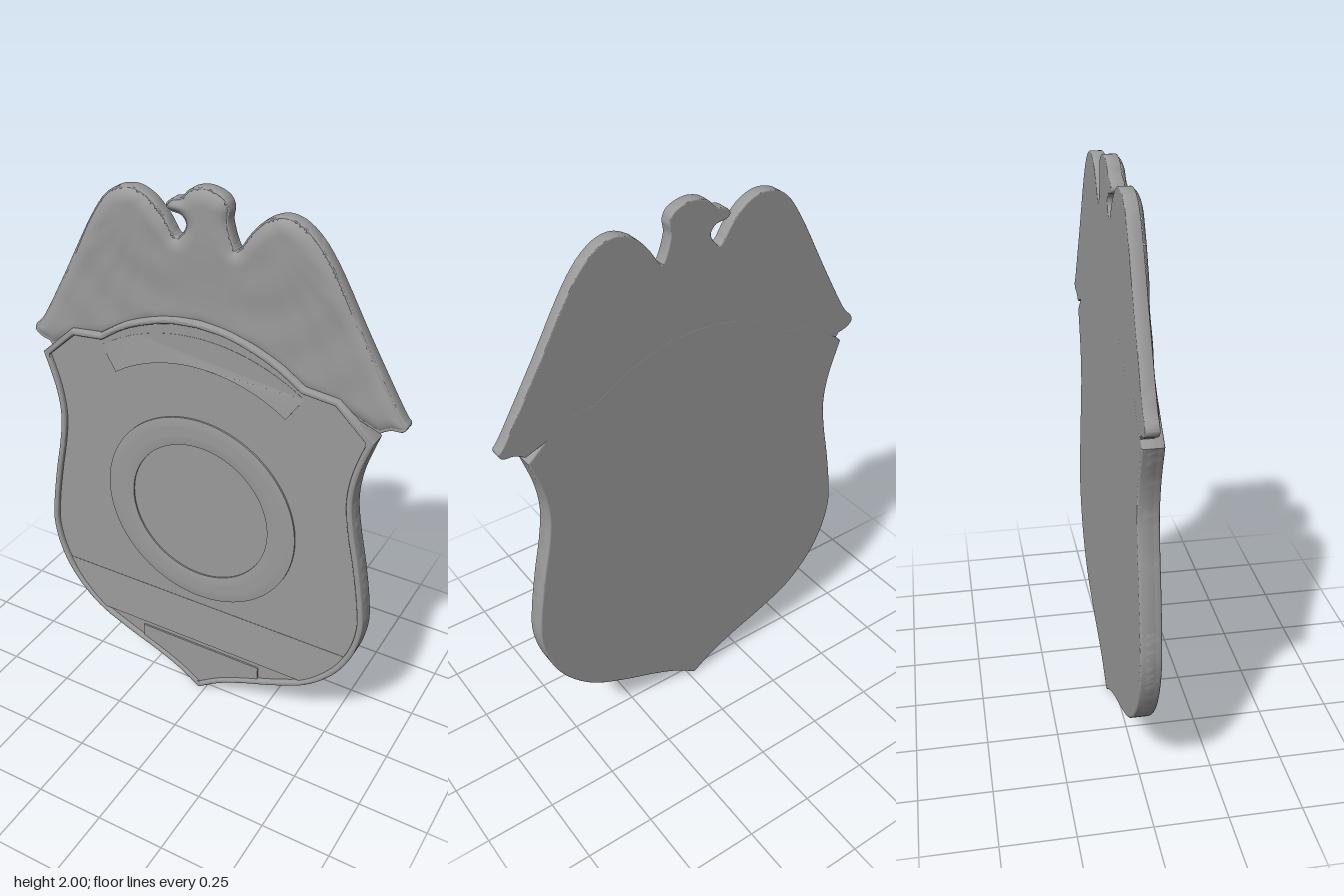
import * as THREE from 'three';
import { toCreasedNormals } from 'three/addons/utils/BufferGeometryUtils.js';

const material = new THREE.MeshStandardMaterial({ color: 0x9a9a9a });
const CX = -0.024; // shield centre line
const FACE = 0.02; // height of the recessed face
const RING_Y = 0.832;
const V = (x, y) => new THREE.Vector2(x, y);

// Smooth rounded edges, but keep the flat front and back faces truly flat
function part(name, geometry, crease = 0.6) {
  const g = toCreasedNormals(geometry, crease);
  const p = g.attributes.position, n = g.attributes.normal;
  const tri = new THREE.Triangle(), face = new THREE.Vector3();
  for (let i = 0; i < p.count; i += 3) {
    tri.setFromAttributeAndIndices(p, i, i + 1, i + 2).getNormal(face);
    if (Math.abs(face.z) > 0.9999) for (let k = 0; k < 3; k++) n.setXYZ(i + k, 0, 0, Math.sign(face.z));
  }
  const mesh = new THREE.Mesh(g, material);
  mesh.name = name;
  return mesh;
}

// Extrude a shape between two z levels, rounding the edges inside the outline
function slab(shape, z0, z1, bevel = 0) {
  const g = new THREE.ExtrudeGeometry(shape, {
    depth: z1 - z0 - 2 * bevel, bevelEnabled: bevel > 0, bevelThickness: bevel,
    bevelSize: bevel, bevelOffset: -bevel, bevelSegments: 4, curveSegments: 40,
  });
  return g.translate(0, 0, z0 + bevel);
}

// Set the height of a slab's front by a rule
function slopeFront(geometry, height) {
  const p = geometry.attributes.position;
  for (let i = 0; i < p.count; i++) {
    if (p.getZ(i) > 0.015) p.setZ(i, height(p.getX(i), p.getY(i)));
  }
  return geometry;
}

// Move a counter-clockwise outline inwards
function inset(pts, d) {
  const n = pts.length;
  return pts.map((p, i) => {
    const a = p.clone().sub(pts[(i + n - 1) % n]).normalize();
    const b = pts[(i + 1) % n].clone().sub(p).normalize();
    const m = V(-a.y - b.y, a.x + b.x).normalize();
    return p.clone().addScaledVector(m, d / Math.max(0.5, m.x * -a.y + m.y * a.x));
  });
}

function shieldOutline() {
  const side = new THREE.SplineCurve([
    V(0, 0.003), V(0.09, 0.064), V(0.19, 0.112), V(0.33, 0.168), V(0.455, 0.232), V(0.555, 0.33), V(0.615, 0.44),
    V(0.643, 0.56), V(0.637, 0.67), V(0.612, 0.82), V(0.583, 0.96), V(0.57, 1.07), V(0.583, 1.18),
    V(0.624, 1.31)]).getPoints(104);
  const top = new THREE.SplineCurve([
    V(0.38, 1.437), V(0.29, 1.495), V(0.19, 1.537), V(0.095, 1.562), V(0, 1.57)]).getPoints(20);
  const half = [...side, V(0.497, 1.425), ...top];
  const mirrored = half.slice(1, -1).reverse().map(p => V(-p.x, p.y));
  return [...half, ...mirrored].map(p => V(p.x + CX, p.y));
}

function eagleOutline() {
  const top = new THREE.SplineCurve([
    // one wing tip, wing, neck and beak, head, other wing
    V(-0.635, 1.345), V(-0.67, 1.355), V(-0.692, 1.375), V(-0.685, 1.4), V(-0.645, 1.445), V(-0.548, 1.615),
    V(-0.426, 1.838), V(-0.352, 1.933), V(-0.272, 1.96), V(-0.204, 1.938), V(-0.15, 1.885), V(-0.113, 1.83),
    V(-0.09, 1.84), V(-0.073, 1.873), V(-0.09, 1.9), V(-0.13, 1.908), V(-0.145, 1.925), V(-0.124, 1.946),
    V(-0.09, 1.956), V(-0.056, 1.988), V(0, 2), V(0.056, 1.983), V(0.077, 1.95), V(0.073, 1.905),
    V(0.093, 1.84), V(0.11, 1.83), V(0.15, 1.888), V(0.2, 1.938), V(0.267, 1.96), V(0.341, 1.93),
    V(0.42, 1.838), V(0.542, 1.625), V(0.664, 1.42), V(0.69, 1.385), V(0.678, 1.363), V(0.64, 1.358), V(0.605, 1.338),
  ]).getPoints(180);
  // lower edge, tucked behind the shield rim
  const low = [[0.48, 1.395], [0.375, 1.415], [0.19, 1.512], [0, 1.547],
    [-0.19, 1.512], [-0.375, 1.415], [-0.48, 1.395], [-0.6, 1.33]].map(([x, y]) => V(x + CX, y));
  return [...top, ...low].reverse();
}

// Distance inside an outline (negative outside)
function depthInside(pts, x, y) {
  let best = Infinity, inside = false;
  for (let i = 0, j = pts.length - 1; i < pts.length; j = i++) {
    const a = pts[j], b = pts[i], dx = b.x - a.x, dy = b.y - a.y;
    const t = THREE.MathUtils.clamp(((x - a.x) * dx + (y - a.y) * dy) / (dx * dx + dy * dy || 1), 0, 1);
    best = Math.min(best, Math.hypot(x - a.x - t * dx, y - a.y - t * dy));
    if ((a.y > y) !== (b.y > y) && x < a.x + ((y - a.y) * dx) / dy) inside = !inside;
  }
  return inside ? best : -best;
}

// Softly modelled front of the eagle, with shallow feathers fanning out from each shoulder
function eagleRelief(pts) {
  const nx = 200, ny = 100, pos = [], index = [], ok = [];
  const { clamp, smoothstep } = THREE.MathUtils;
  for (let j = 0; j <= ny; j++) for (let i = 0; i <= nx; i++) {
    const x = -0.7 + (1.4 * i) / nx, y = 1.32 + (0.69 * j) / ny;
    const d = depthInside(pts, x, y);
    const ax = Math.abs(x);
    const pillow = Math.sqrt(1 - (1 - clamp(d / 0.05, 0, 1)) ** 2);
    const r = Math.hypot(ax - 0.2, y - 1.93);
    const fan = Math.atan2(ax - 0.2, 1.93 - y);
    const wing = smoothstep(ax, 0.06, 0.16);
    const feathers = 0.0006 * Math.sin(fan * 24) * smoothstep(r, 0.1, 0.3) * wing;
    const shoulder = 0.009 * smoothstep(y, 1.6, 1.88);
    const scallop = 0.0012 * Math.sin(r * 38 + 3 * fan) * wing;
    pos.push(x, y, -0.004 + pillow * (0.022 + shoulder + feathers + scallop));
    ok.push(d > 0);
  }
  for (let j = 0; j < ny; j++) for (let i = 0; i < nx; i++) {
    const a = j * (nx + 1) + i, b = a + 1, c = a + nx + 1, d = c + 1;
    if (ok[a] && ok[b] && ok[c] && ok[d]) index.push(a, b, d, a, d, c);
  }
  const g = new THREE.BufferGeometry();
  g.setAttribute('position', new THREE.Float32BufferAttribute(pos, 3));
  g.setIndex(index);
  g.computeVertexNormals();
  return g;
}

export function createModel() {
  const model = new THREE.Group();
  model.name = 'shieldBadge';
  const outline = shieldOutline();

  // Shield body and raised rounded rim
  model.add(part('shieldBody', slab(new THREE.Shape(outline), -0.035, FACE, 0.006)));
  const rimShape = new THREE.Shape(outline);
  rimShape.holes.push(new THREE.Path(inset(outline, 0.022)));
  model.add(part('shieldRim', slab(rimShape, -0.025, 0.035, 0.009), 0.9));

  // Round medallion: gently domed ring with crisp edges, and a flat disc
  const ring = [[0.374, 0.01], [0.374, 0.0265], [0.36, 0.0285], [0.34, 0.0298], [0.322, 0.03],
    [0.304, 0.0298], [0.284, 0.0285], [0.27, 0.0265], [0.27, 0.01]].map(p => V(...p)).reverse();
  const medallion = new THREE.Group();
  medallion.name = 'medallion';
  const ringMesh = part('medallionRing', new THREE.LatheGeometry(ring, 96).rotateX(Math.PI / 2));
  ringMesh.material = material.clone();
  ringMesh.material.side = THREE.DoubleSide;
  medallion.add(ringMesh);
  medallion.add(part('medallionDisc',
    new THREE.CylinderGeometry(0.271, 0.271, 0.012, 96).rotateX(Math.PI / 2).translate(0, 0, 0.015)));
  medallion.position.set(CX, RING_Y, 0);
  model.add(medallion);

  // Curved panel, concentric with the medallion, rising towards its inner edge
  const a = 0.595;
  const arc = new THREE.Shape();
  arc.absarc(CX, RING_Y, 0.676, Math.PI / 2 - a, Math.PI / 2 + a, false);
  arc.absarc(CX, RING_Y, 0.574, Math.PI / 2 + a, Math.PI / 2 - a, true);
  model.add(part('upperPanel', slopeFront(slab(arc, 0.005, FACE),
    (x, y) => FACE + 0.001 + 0.08 * (0.676 - Math.hypot(x - CX, y - RING_Y)))));

  // Cross band, rising from the face towards its lower edge
  const inner = inset(outline, 0.015);
  const band = new THREE.Shape(inner.filter(p => p.y > 0.228 && p.y < 0.43));
  model.add(part('crossBand', slopeFront(slab(band, 0.005, FACE),
    (x, y) => FACE + 0.001 + 0.04 * Math.max(0, 0.425 - y))));

  // Small panel in the point of the shield
  const corner = [V(0.25, 0.212), V(0.25, 0.155), V(0.18, 0.122), V(0.09, 0.08)];
  const point = [...corner, V(0, 0.025), ...corner.map(p => V(-p.x, p.y)).reverse()].map(p => V(p.x + CX, p.y));
  model.add(part('lowerPanel', slab(new THREE.Shape(point), 0.005, FACE + 0.006)));

  // Eagle crest
  const eagle = new THREE.Group();
  eagle.name = 'eagleCrest';
  const eaglePts = eagleOutline();
  eagle.add(part('eagleBody', slab(new THREE.Shape(eaglePts), -0.0348, 0.009, 0.004)));
  const relief = new THREE.Mesh(eagleRelief(eaglePts), material);
  relief.name = 'eagleRelief';
  eagle.add(relief);
  model.add(eagle);
  return model;
}
